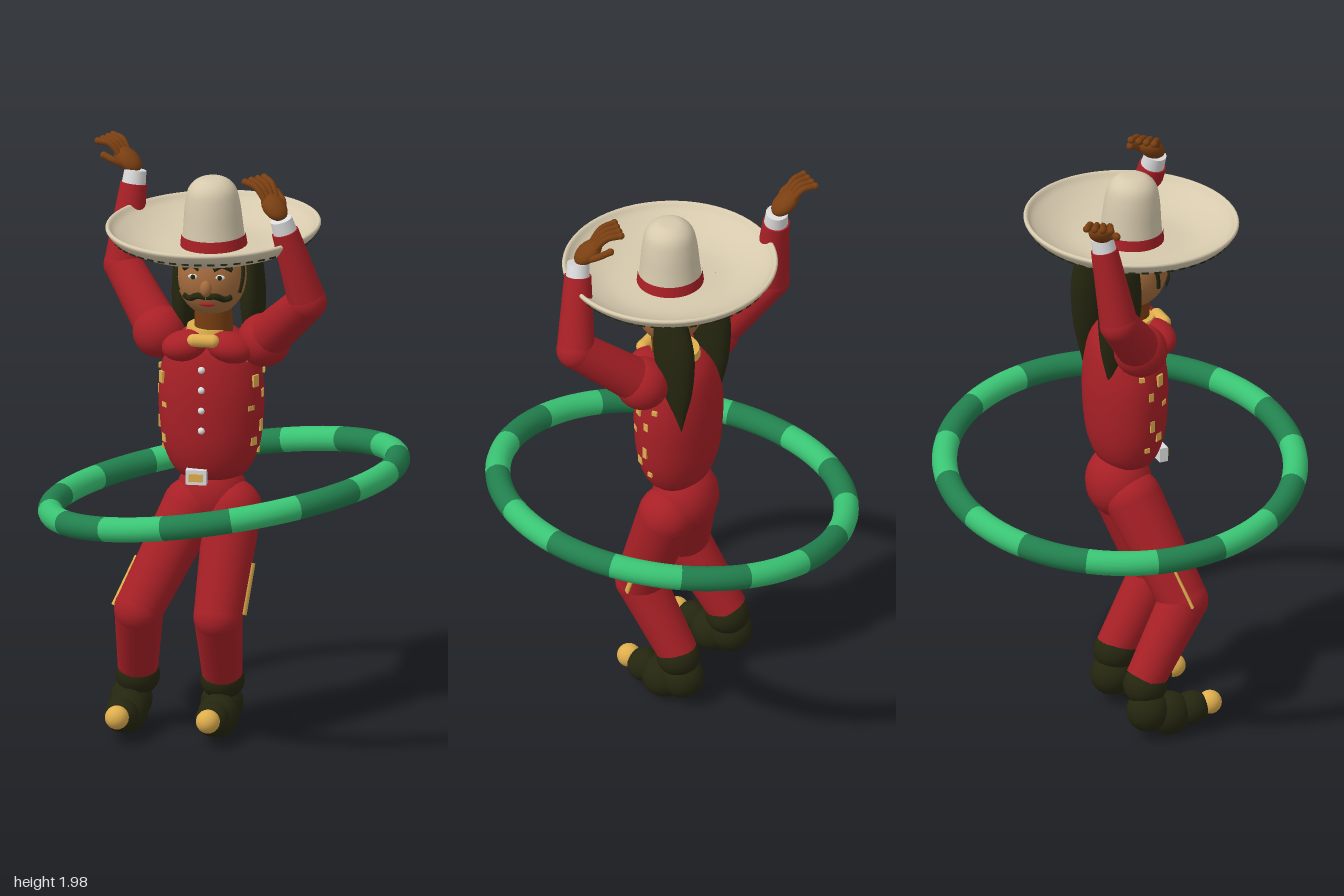
import * as THREE from 'three';

const paint = (name, color) => {
  const m = new THREE.MeshStandardMaterial({ color });
  m.name = name;
  return m;
};
const V = (x, y, z) => new THREE.Vector3(x, y, z);

export function createModel() {
  const red = paint('suit red', 0xa82026);
  const cream = paint('hat cream', 0xd6c9ad);
  const dark = paint('hair and shoe dark', 0x25260f);
  const tan = paint('face tan', 0xa56c3e);
  const brown = paint('hand brown', 0x7a3f12);
  const gold = paint('gold', 0xdfae4e);
  const white = paint('cuff white', 0xdcdcdc);
  const greenLight = paint('hoop light green', 0x3ac474);
  const greenDark = paint('hoop dark green', 0x22804e);

  const root = new THREE.Group();
  root.name = 'hoopDancer';
  const group = (name, parent = root) => {
    const g = new THREE.Group();
    g.name = name;
    parent.add(g);
    return g;
  };
  const add = (parent, name, geo, mat, x = 0, y = 0, z = 0) => {
    const m = new THREE.Mesh(geo, mat);
    m.name = name;
    m.position.set(x, y, z);
    parent.add(m);
    return m;
  };
  const ball = (parent, name, mat, p, rx, ry = rx, rz = rx) => {
    const m = add(parent, name, new THREE.SphereGeometry(1, 24, 16), mat, p.x, p.y, p.z);
    m.scale.set(rx, ry, rz);
    return m;
  };
  // Tapered cylinder running from a to b
  const limb = (parent, name, mat, a, b, ra, rb) => {
    const d = b.clone().sub(a);
    const m = add(parent, name, new THREE.CylinderGeometry(rb, ra, d.length(), 24), mat);
    m.position.copy(a).addScaledVector(d, 0.5);
    m.quaternion.setFromUnitVectors(V(0, 1, 0), d.normalize());
    return m;
  };
  const tube = (parent, name, mat, pts, r) =>
    add(parent, name, new THREE.TubeGeometry(new THREE.CatmullRomCurve3(pts), 10, r, 8), mat);
  const lathe = (pts, n = 36, steps = 28) => new THREE.LatheGeometry(
    new THREE.SplineCurve(pts.map(p => new THREE.Vector2(...p))).getPoints(steps)
      .map(p => p.setX(Math.max(p.x, 0))), n);

  // Hoop of sixteen alternating bands
  const hoop = group('hoop');
  hoop.position.y = 0.87;
  hoop.rotation.set(-0.045, 0, 0.16);
  for (let i = 0; i < 16; i++) {
    const band = add(hoop, 'hoopBand', new THREE.TorusGeometry(0.583, 0.042, 16, 8, Math.PI / 8),
      i % 2 ? greenLight : greenDark);
    band.rotation.set(Math.PI / 2, 0, (i - 0.5) * Math.PI / 8);
  }

  // Torso, pelvis and neck
  const torsoProfile = [[0, 0.89], [0.6, 0.91], [0.9, 1.0], [1, 1.13], [0.98, 1.25], [0.8, 1.36], [0.38, 1.42], [0, 1.43]];
  const torso = add(root, 'torso', lathe(torsoProfile), red, -0.042, 0, 0);
  torso.scale.set(0.176, 1, 0.136);
  ball(root, 'pelvis', red, V(-0.045, 0.83, -0.025), 0.12, 0.125, 0.11);
  limb(root, 'neck', brown, V(-0.03, 1.38, 0.02), V(-0.033, 1.52, 0.03), 0.066, 0.062);

  // Gold embroidery on the sides of the jacket
  for (const side of [1, -1]) {
    [[1.37, 0.1], [1.33, 0.5], [1.27, -0.1], [1.25, 0.45], [1.2, 0.15], [1.16, 0.6], [1.09, 0.2], [1.04, 0.45], [1.0, 0.1]]
      .forEach(([y, a], i) => {
        const r = y > 1.3 ? 0.9 - (y - 1.32) * 3 : y < 1.1 ? 0.91 + (y - 1) * 0.8 : 0.995;
        const nx = Math.cos(a) * side, nz = Math.sin(a);
        const p = add(root, 'embroidery', new THREE.BoxGeometry(0.018 + 0.008 * (i % 2), 0.04 - 0.012 * (i % 3), 0.008),
          gold, -0.042 + nx * 0.176 * r, y, nz * 0.136 * r);
        p.lookAt(p.position.x + nx / 0.176, y, p.position.z + nz / 0.136);
      });
  }

  // Bow tie, buttons and buckle
  for (const s of [1, -1]) {
    const lobe = ball(root, 'bowLobe', red, V(-0.042 + s * 0.075, 1.37, 0.085), 0.08, 0.052, 0.06);
    lobe.rotation.z = -s * 0.2;
  }
  const knot = add(root, 'bowKnot', new THREE.CapsuleGeometry(0.022, 0.065, 6, 16), gold, -0.05, 1.4, 0.125);
  knot.rotation.z = Math.PI / 2;
  const collar = add(root, 'collar', new THREE.CylinderGeometry(0.075, 0.085, 0.045, 24), gold, -0.045, 1.405, 0.015);
  collar.scale.z = 1.1;
  for (let i = 0; i < 4; i++) ball(root, 'button', white, V(-0.055, 1.3 - 0.07 * i, 0.133), 0.012);
  add(root, 'buckle', new THREE.BoxGeometry(0.07, 0.05, 0.03), white, -0.075, 0.925, 0.112);
  add(root, 'buckleInset', new THREE.BoxGeometry(0.045, 0.026, 0.008), gold, -0.075, 0.925, 0.129);

  // Legs with stacked ball shoes
  const leg = (name, side, hip, knee, ankle, footX) => {
    const g = group(name);
    ball(g, 'hip', red, hip, 0.097);
    limb(g, 'thigh', red, hip, knee, 0.097, 0.082);
    ball(g, 'knee', red, knee, 0.083);
    limb(g, 'shin', red, knee, ankle, 0.082, 0.067);
    const at = t => hip.clone().lerp(knee, t).add(V(side * (0.1 - 0.015 * t), 0, 0));
    const stripe = limb(g, 'trouserStripe', gold, at(0.5), at(0.98), 0.01, 0.012);
    stripe.scale.x = 0.5;
    ball(g, 'shoeCuff', dark, V(ankle.x, 0.19, ankle.z), 0.074, 0.07, 0.074);
    ball(g, 'heel', dark, V(footX, 0.105, -0.035), 0.072);
    ball(g, 'shoe', dark, V(footX, 0.082, 0.04), 0.07, 0.074, 0.075);
    ball(g, 'shoeFront', dark, V(footX - 0.008, 0.09, 0.12), 0.057);
    ball(g, 'toeCap', gold, V(footX - 0.013, 0.1, 0.183), 0.04);
  };
  leg('leftLeg', 1, V(0.03, 0.79, 0), V(0.0, 0.45, 0.125), V(-0.008, 0.2, -0.02), -0.012);
  leg('rightLeg', -1, V(-0.11, 0.79, 0), V(-0.268, 0.46, 0.115), V(-0.295, 0.21, -0.035), -0.318);

  // Arms with fanned, curled fingers
  const arm = (name, shoulder, elbow, wrist, tip, fan) => {
    const g = group(name);
    ball(g, 'shoulder', red, shoulder, 0.09);
    limb(g, 'upperArm', red, shoulder, elbow, 0.076, 0.064);
    ball(g, 'elbow', red, elbow, 0.065);
    limb(g, 'forearm', red, elbow, wrist, 0.064, 0.045);
    const up = wrist.clone().sub(elbow).normalize();
    const end = wrist.clone().addScaledVector(up, 0.045);
    limb(g, 'cuff', white, wrist, end, 0.04, 0.037);
    const d = tip.clone().sub(end);
    const dir = d.clone().normalize();
    const s = fan.clone().addScaledVector(dir, -fan.dot(dir)).normalize();
    const n = V(0, 1, 0).addScaledVector(dir, -dir.y).addScaledVector(s, -s.y).normalize();
    const at = (t, k, h) => end.clone().addScaledVector(d, t).addScaledVector(s, k).addScaledVector(n, h);
    const palm = ball(g, 'palm', brown, at(0.28, 0, 0.006), 0.042, 0.055, 0.03);
    palm.quaternion.setFromRotationMatrix(new THREE.Matrix4().makeBasis(s, dir, s.clone().cross(dir)));
    for (let i = -1.5; i <= 1.5; i++) {
      const pts = [at(0.4, i * 0.015, 0.01), at(0.75, i * 0.022, 0.022), at(1, i * 0.027, 0)];
      tube(g, 'finger', brown, pts, 0.011);
      ball(g, 'fingertip', brown, pts[2], 0.012);
    }
    const thumb = [at(0.15, 0.02, 0), at(0.4, 0.05, 0), at(0.65, 0.058, -0.01)];
    tube(g, 'thumb', brown, thumb, 0.012);
    ball(g, 'fingertip', brown, thumb[2], 0.0125);
  };
  arm('leftArm', V(0.14, 1.385, 0.03), V(0.31, 1.57, 0.185), V(0.24, 1.82, 0.22),
    V(0.125, 1.97, 0.135), V(0.7, 0, -0.7));
  arm('rightArm', V(-0.22, 1.385, -0.02), V(-0.365, 1.57, -0.16), V(-0.335, 1.84, -0.2),
    V(-0.44, 1.972, -0.265), V(-0.4, -0.1, 0.9));

  // Head and face
  const head = group('head');
  const c = V(-0.037, 1.605, 0.03);
  ball(head, 'skull', tan, c, 0.118, 0.14, 0.118);
  const face = (x, y, lift = 0) => {
    const q = 1 - (x / 0.118) ** 2 - ((y - c.y) / 0.14) ** 2;
    return V(c.x + x, y, c.z + 0.118 * Math.sqrt(Math.max(q, 0)) + lift);
  };
  for (const s of [1, -1]) {
    tube(head, 'eyebrow', dark, [face(s * 0.022, 1.65), face(s * 0.05, 1.662), face(s * 0.08, 1.645)], 0.009);
    ball(head, 'eye', white, face(s * 0.045, 1.625), 0.017, 0.009, 0.007);
    ball(head, 'pupil', dark, face(s * 0.045, 1.625, 0.005), 0.008, 0.008, 0.004);
    tube(head, 'moustache', dark, [face(0, 1.558, 0.004), face(s * 0.03, 1.56, 0.003), face(s * 0.06, 1.545), face(s * 0.078, 1.552)], 0.011);
    tube(head, 'sideburn', dark, [face(s * 0.108, 1.65), face(s * 0.11, 1.61), face(s * 0.1, 1.56)], 0.008);
  }
  ball(head, 'nose', tan, face(0, 1.588, 0.004), 0.02, 0.028, 0.02);
  ball(head, 'mouth', red, face(0, 1.528), 0.026, 0.007, 0.007);

  // Two long braids hanging behind the head
  const braidProfile = [[0, -0.52], [0.3, -0.45], [0.75, -0.34], [1, -0.2], [0.8, -0.07], [0.5, 0]];
  for (const x of [0.088, -0.142]) {
    const braid = add(head, 'braid', lathe(braidProfile, 20), dark, x, 1.705, -0.045);
    braid.scale.set(0.042, 1, 0.076);
    braid.rotation.x = 0.085;
  }

  // Wide dished hat with a red band and stitched brim
  const hat = group('hat');
  hat.position.set(-0.03, 1.7, 0.025);
  hat.rotation.set(0.03, 0, 0.025);
  const brim = [[0.08, -0.008], [0.19, -0.01], [0.27, 0.01], [0.33, 0.04], [0.356, 0.068],
    [0.357, 0.08], [0.347, 0.081], [0.325, 0.058], [0.265, 0.026], [0.19, 0.008], [0.08, 0.01]];
  add(hat, 'brim', lathe(brim, 64, 50), cream);
  add(hat, 'crown', lathe([[0.108, 0], [0.1, 0.07], [0.092, 0.15], [0.078, 0.205], [0.045, 0.235], [0, 0.24]]), cream);
  add(hat, 'hatBand', new THREE.CylinderGeometry(0.107, 0.112, 0.04, 48, 1, true), red, 0, 0.026, 0);
  for (let i = 0; i < 48; i++) {
    const a = i * Math.PI / 24;
    const dash = add(hat, 'stitch', new THREE.BoxGeometry(0.024, 0.006, 0.006), dark,
      Math.sin(a) * 0.333, 0.041, Math.cos(a) * 0.333);
    dash.rotation.y = a;
  }
  return root;
}
